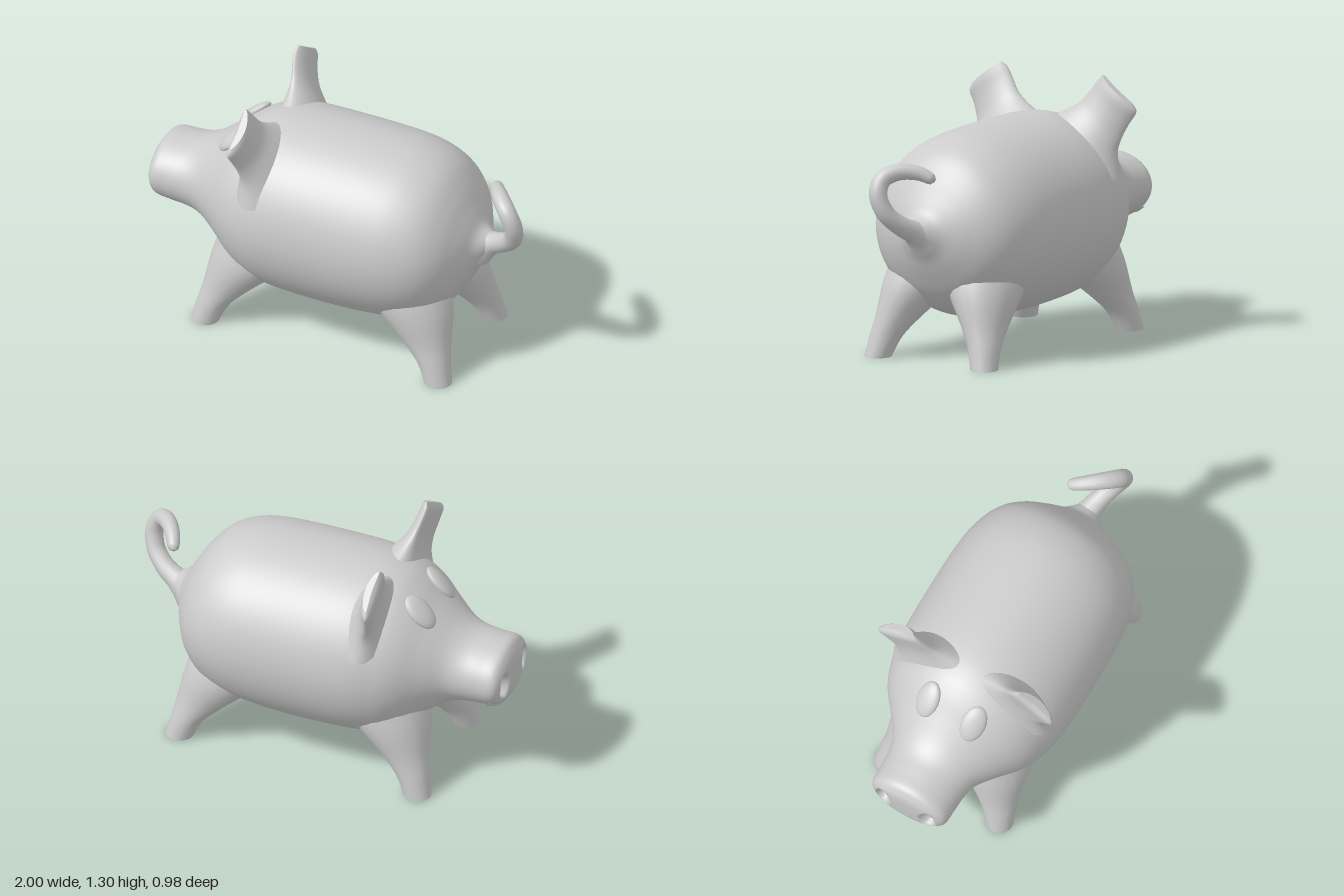
import * as THREE from 'three';

const material = new THREE.MeshStandardMaterial({ color: 0xcccccc });
const V = (x, y, z) => new THREE.Vector3(x, y, z);

// Skin through rings of points, with flat end caps; winding is fixed by signed volume.
function loft(name, rings) {
  const n = rings[0].length, pos = [], idx = [];
  rings.forEach(r => r.forEach(p => pos.push(p.x, p.y, p.z)));
  for (let i = 0; i < rings.length - 1; i++) {
    for (let j = 0; j < n; j++) {
      const a = i * n + j, b = i * n + (j + 1) % n;
      idx.push(a, b, a + n, b, b + n, a + n);
    }
  }
  [rings[0], rings[rings.length - 1]].forEach((r, end) => {
    const start = pos.length / 3;
    const c = r.reduce((s, p) => s.add(p), V(0, 0, 0)).divideScalar(n);
    [...r, c].forEach(p => pos.push(p.x, p.y, p.z));
    for (let j = 0; j < n; j++) {
      const a = start + j, b = start + (j + 1) % n;
      idx.push(...(end ? [a, b, start + n] : [b, a, start + n]));
    }
  });
  const at = i => V(pos[3 * i], pos[3 * i + 1], pos[3 * i + 2]);
  let volume = 0;
  for (let i = 0; i < idx.length; i += 3) volume += at(idx[i]).dot(at(idx[i + 1]).cross(at(idx[i + 2])));
  if (volume < 0) idx.reverse();
  const g = new THREE.BufferGeometry();
  g.setAttribute('position', new THREE.Float32BufferAttribute(pos, 3));
  g.setIndex(idx);
  g.computeVertexNormals();
  const mesh = new THREE.Mesh(g, material);
  mesh.name = name;
  return mesh;
}

// Catmull-Rom resampling of rows of numbers
function smooth(rows, steps) {
  const out = [], last = rows.length - 1;
  for (let i = 0; i < last; i++) {
    for (let s = 0; s < steps; s++) {
      const t = s / steps, a = rows[Math.max(i - 1, 0)], b = rows[i], c = rows[i + 1], d = rows[Math.min(i + 2, last)];
      out.push(b.map((_, k) => {
        const m0 = (c[k] - a[k]) / 2, m1 = (d[k] - b[k]) / 2;
        return (2 * t ** 3 - 3 * t * t + 1) * b[k] + (t ** 3 - 2 * t * t + t) * m0
          + (3 * t * t - 2 * t ** 3) * c[k] + (t ** 3 - t * t) * m1;
      }));
    }
  }
  out.push(rows[last]);
  return out;
}

const ring = (n, f) => Array.from({ length: n }, (_, j) => {
  const a = j / n * Math.PI * 2;
  return f(Math.cos(a), Math.sin(a));
});

// Body, head and snout in one skin: x, top, bottom, half width
function makeBody() {
  const rows = smooth([
    [-1, 0.65, 0.63, 0.01], [-0.999, 0.69, 0.59, 0.06], [-0.996, 0.73, 0.55, 0.12],
    [-0.984, 0.765, 0.52, 0.175], [-0.95, 0.8, 0.485, 0.208], [-0.87, 0.808, 0.47, 0.212],
    [-0.78, 0.82, 0.46, 0.218], [-0.7, 0.86, 0.43, 0.24], [-0.6, 0.94, 0.36, 0.31],
    [-0.5, 1.025, 0.27, 0.385], [-0.4, 1.08, 0.2, 0.43], [-0.25, 1.108, 0.175, 0.463],
    [0.05, 1.11, 0.165, 0.47], [0.3, 1.1, 0.18, 0.463], [0.44, 1.075, 0.205, 0.44],
    [0.55, 1.02, 0.26, 0.395], [0.63, 0.93, 0.34, 0.325], [0.69, 0.83, 0.44, 0.225],
    [0.735, 0.755, 0.53, 0.125], [0.79, 0.72, 0.61, 0.055],
  ], 6);
  return loft('body', rows.map(([x, top, bottom, w]) => ring(72, (c, s) => {
    const p = V(x, (top + bottom) / 2 + c * (top - bottom) / 2, s * w);
    // Nostril hollows
    const d = ((p.y - 0.64) / 0.068) ** 2 + ((Math.abs(p.z) - 0.125) / 0.042) ** 2;
    if (x < -0.9 && d < 1) p.x += 0.045 * Math.min(1, 2 * (1 - d));
    return p;
  })));
}

// Leg: y, centre x, centre z, radius in x, radius in z
function makeLeg(front, side) {
  const rows = front
    ? [[0, -0.61, 0.315, 0.07, 0.067], [0.1, -0.575, 0.29, 0.085, 0.082],
      [0.2, -0.515, 0.252, 0.125, 0.113], [0.36, -0.41, 0.19, 0.208, 0.182], [0.5, -0.34, 0.15, 0.24, 0.2]]
    : [[0, 0.648, 0.315, 0.07, 0.067], [0.1, 0.612, 0.29, 0.085, 0.082],
      [0.2, 0.55, 0.252, 0.13, 0.113], [0.36, 0.448, 0.19, 0.208, 0.182], [0.5, 0.38, 0.15, 0.22, 0.2]];
  return loft(front ? 'frontLeg' : 'rearLeg', smooth(rows, 4).map(([y, x, z, rx, rz]) =>
    ring(20, (c, s) => V(x + c * rx, y, side * (z + s * rz)))));
}

// Ear: outer z, outer y, inner z, inner y, half thickness, centre x
function makeEar(side) {
  const rows = smooth([
    [0.44, 0.8, 0, 1.06, 0.13, -0.33], [0.412, 0.92, 0.1, 1.105, 0.085, -0.35],
    [0.425, 1.0, 0.185, 1.16, 0.05, -0.375], [0.46, 1.075, 0.235, 1.225, 0.038, -0.395],
    [0.492, 1.13, 0.272, 1.275, 0.034, -0.405], [0.475, 1.17, 0.3, 1.297, 0.018, -0.4],
  ], 4);
  return loft('ear', rows.map(([oz, oy, iz, iy, t, x]) => ring(28, (c, s) =>
    V(x + s * t + 0.02 * (1 - c * c),
      (oy + iy) / 2 + c * (oy - iy) / 2,
      side * ((oz + iz) / 2 + c * (oz - iz) / 2)))));
}

// Curled tail: x, y, z, radius
function makeTail() {
  const rows = smooth([
    [0.72, 0.63, 0, 0.1], [0.79, 0.672, 0.005, 0.06], [0.87, 0.715, 0.03, 0.049],
    [0.935, 0.78, 0.07, 0.046], [0.955, 0.87, 0.103, 0.045], [0.92, 0.947, 0.1, 0.045],
    [0.86, 0.98, 0.045, 0.042], [0.805, 0.973, -0.03, 0.036], [0.775, 0.945, -0.09, 0.028],
    [0.77, 0.937, -0.105, 0.01],
  ], 5);
  const curve = new THREE.CatmullRomCurve3(rows.map(r => V(r[0], r[1], r[2])));
  const n = 60, { normals, binormals } = curve.computeFrenetFrames(n);
  const rings = normals.map((nrm, i) => {
    const u = curve.getUtoTmapping(i / n) * (rows.length - 1), k = Math.min(Math.floor(u), rows.length - 2);
    const r = THREE.MathUtils.lerp(rows[k][3], rows[k + 1][3], u - k);
    const p = curve.getPointAt(i / n);
    return ring(14, (c, s) => p.clone().addScaledVector(nrm, c * r).addScaledVector(binormals[i], s * r));
  });
  return loft('tail', rings);
}

// Flattened oval eye lying on the brow
function makeEye(side) {
  const eye = new THREE.Mesh(new THREE.SphereGeometry(1, 20, 14), material);
  eye.name = 'eye';
  const normal = V(-0.66, 0.7, side * 0.28).normalize();
  const along = V(0.72, 0.69, 0).addScaledVector(normal, -V(0.72, 0.69, 0).dot(normal)).normalize();
  eye.quaternion.setFromRotationMatrix(new THREE.Matrix4().makeBasis(along, normal, along.clone().cross(normal)));
  eye.scale.set(0.1, 0.028, 0.062);
  eye.position.set(-0.548, 0.968, side * 0.128);
  return eye;
}

export function createModel() {
  const pig = new THREE.Group();
  pig.name = 'pig';
  pig.add(makeBody(), makeTail());
  for (const side of [1, -1]) {
    pig.add(makeLeg(true, side), makeLeg(false, side), makeEar(side), makeEye(side));
  }
  // Smiling lip under the snout
  const lip = new THREE.CatmullRomCurve3([
    V(-0.915, 0.56, 0.185), V(-0.945, 0.52, 0.11), V(-0.96, 0.51, 0),
    V(-0.945, 0.52, -0.11), V(-0.915, 0.56, -0.185),
  ]);
  const mouth = new THREE.Mesh(new THREE.TubeGeometry(lip, 28, 0.017, 8), material);
  mouth.name = 'mouth';
  pig.add(mouth);
  return pig;
}
